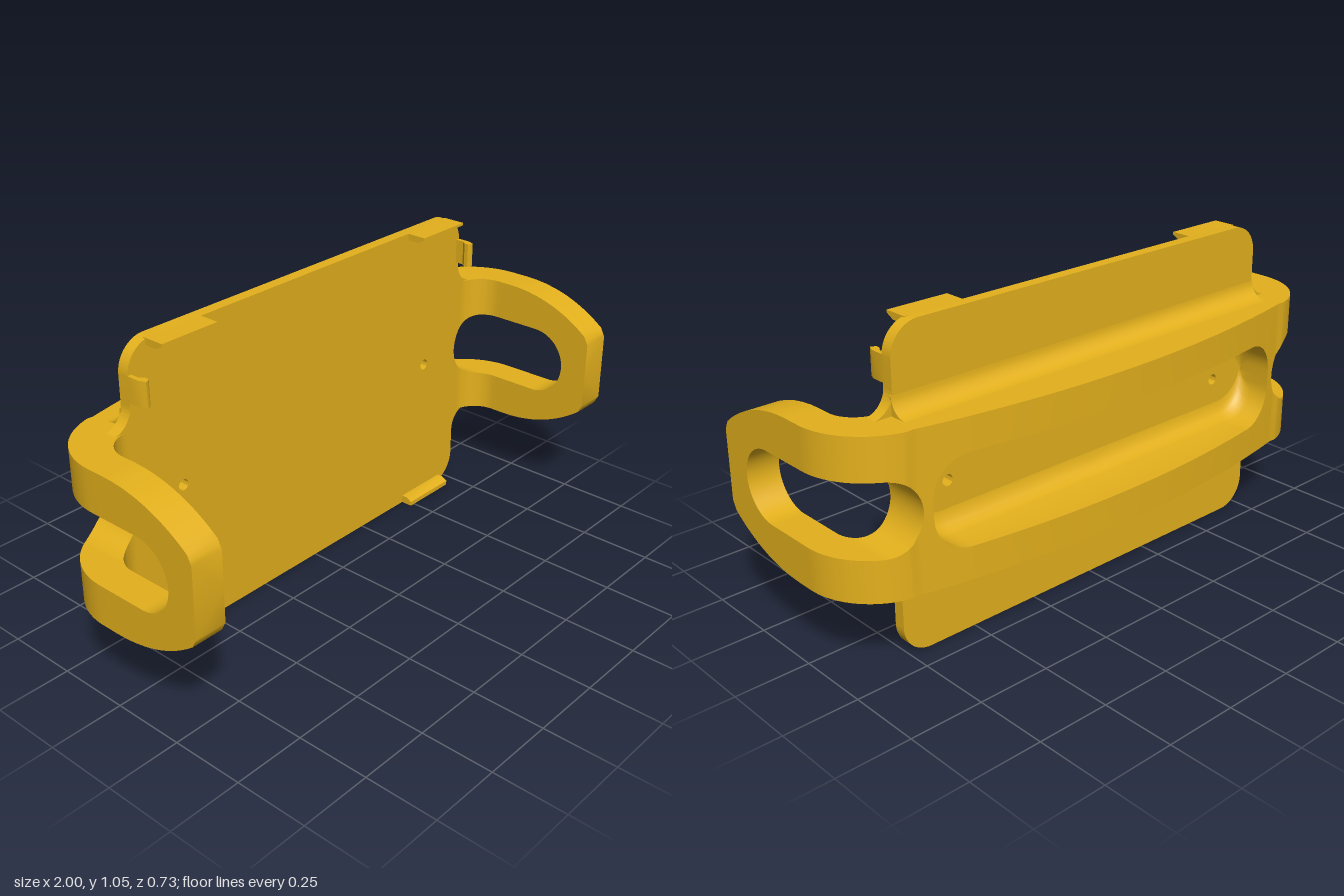
import * as THREE from 'three';
import { toCreasedNormals } from 'three/addons/utils/BufferGeometryUtils.js';

const MID = 0.53; // height of the horizontal symmetry line
const material = new THREE.MeshStandardMaterial({ color: 0xe3b01c });

function part(name, geometry) {
  const mesh = new THREE.Mesh(toCreasedNormals(geometry, 0.6), material);
  mesh.name = name;
  return mesh;
}

function extrude(shape, depth) {
  return new THREE.ExtrudeGeometry(shape, { depth, bevelEnabled: false, curveSegments: 16 });
}

// Extrudes a (z, y) profile along x, centred on cx
function extrudeAlongX(points, width, cx) {
  const shape = new THREE.Shape(points.map(([z, y]) => new THREE.Vector2(-z, y)));
  return extrude(shape, width).translate(0, 0, -width / 2).rotateY(Math.PI / 2).translate(cx, 0, 0);
}

// Flat plate: rounded corners, fillets into the arms, round side notches, two screw holes
function plateGeometry() {
  const W = 0.77, T = 1.055, r = 0.1, f = 0.075, PI = Math.PI;
  const top = MID + 0.258, low = MID - 0.258;
  const a = Math.acos(0.035 / 0.12), n = 0.12 * Math.sin(a);
  const s = new THREE.Shape();
  s.moveTo(-W + r, 0);
  s.lineTo(W - r, 0);
  s.absarc(W - r, r, r, -PI / 2, 0, false);
  s.absarc(W + f, low - f, f, PI, PI / 2, true);
  s.lineTo(0.85, MID - n);
  s.absarc(0.885, MID, 0.12, PI + a, PI - a, true);
  s.lineTo(0.85, top);
  s.absarc(W + f, top + f, f, -PI / 2, -PI, true);
  s.absarc(W - r, T - r, r, 0, PI / 2, false);
  s.absarc(-W + r, T - r, r, PI / 2, PI, false);
  s.absarc(-W - f, top + f, f, 0, -PI / 2, true);
  s.lineTo(-0.85, MID + n);
  s.absarc(-0.885, MID, 0.12, a, -a, true);
  s.lineTo(-0.85, low);
  s.absarc(-W - f, low - f, f, PI / 2, 0, true);
  s.absarc(-W + r, r, r, PI, PI * 1.5, false);
  for (const x of [-0.587, 0.587]) {
    s.holes.push(new THREE.Path().absarc(x, MID, 0.019, 0, PI * 2, true));
  }
  return extrude(s, 0.04).translate(0, 0, -0.17);
}

// Half height of the side slot at a point of the band
function slotHalf(x, z) {
  if (z > 0.14) return 0.12 * Math.sqrt(Math.max(0, 1 - ((z - 0.14) / 0.12) ** 2));
  const dx = Math.max(0, 0.885 - x);
  return Math.sqrt(Math.max(0, 0.0144 - dx * dx));
}

// Half height of the band, tapering towards the arm tips
function bandHalf(z) {
  if (z < 0.02) return 0.259;
  const h = 0.259 - (0.53 - Math.sqrt(0.53 ** 2 - (z - 0.02) ** 2));
  return z > 0.345 ? h - (z - 0.345) * 1.2 : h;
}

// Columns of the band from the middle of the back to an arm tip: outer and inner points
function bandColumns() {
  const cols = [];
  const back = x => 3.435 - Math.sqrt(3.8 ** 2 - x * x);
  const flat = (x, pocket) => cols.push({ o: [x, back(x)], i: [x, -0.13], pocket });
  for (let k = 0; k <= 6; k++) flat(k * 0.1, 0.15);
  for (let k = 0; k <= 10; k++) {
    const a = k * Math.PI / 20;
    flat(0.615 + 0.12 * Math.sin(a), 0.03 + 0.12 * Math.cos(a));
  }
  for (const x of [0.7351, 0.765, 0.766, 0.769, 0.774, 0.781, 0.789]) flat(x);
  // Rounded corner
  for (let k = 0; k <= 20; k++) {
    const t = k / 20, a = 0.213 + t * (Math.PI / 2 - 0.213), b = t * Math.PI / 2;
    cols.push({
      o: [0.755 + 0.245 * Math.sin(a), -0.045 - 0.245 * Math.cos(a)],
      i: [0.79 + 0.1 * Math.sin(b), -0.03 - 0.1 * Math.cos(b)],
    });
  }
  // Straight arm
  const arm = z => cols.push({ o: [1, z], i: [0.89, z] });
  for (const z of [0.02, 0.06, 0.1, 0.14]) arm(z);
  for (let k = 1; k <= 14; k++) arm(0.14 + 0.12 * Math.sin(k * Math.PI / 28));
  for (const z of [0.28, 0.3, 0.32, 0.345, 0.353, 0.36]) arm(z);
  return cols;
}

// Cross-section loop of one rail, as [x, height from the middle, z]
function section({ o, i, pocket }) {
  const N = 6, loop = [[o[0], bandHalf(o[1]), o[1]]];
  if (pocket !== undefined) {
    const f = Math.min(0.06, pocket);
    loop.push([o[0], pocket, o[1]]);
    for (let k = 0; k < N - 1; k++) {
      const a = k / (N - 2) * Math.PI / 2;
      loop.push([o[0], pocket - f + f * Math.cos(a), -0.17 - f + f * Math.sin(a)]);
    }
    loop.push([i[0], pocket - f, i[1]]);
  } else {
    for (let k = 0; k <= N; k++) {
      const t = k / N, x = o[0] + (i[0] - o[0]) * t, z = o[1] + (i[1] - o[1]) * t;
      loop.push([x, slotHalf(x, z), z]);
    }
  }
  loop.push([i[0], bandHalf(i[1]), i[1]]);
  return loop;
}

// Curved band: one quarter lofted and mirrored four ways
function bandGeometry() {
  const loops = bandColumns().map(section), positions = [];
  for (const sx of [1, -1]) for (const sy of [1, -1]) {
    const tri = (a, b, c) => {
      for (const p of sx * sy > 0 ? [a, c, b] : [a, b, c]) {
        positions.push(sx * p[0], MID + sy * p[1], p[2]);
      }
    };
    for (let c = 0; c + 1 < loops.length; c++) {
      const A = loops[c], B = loops[c + 1], n = A.length;
      for (let k = 0; k < n; k++) {
        const m = (k + 1) % n;
        tri(A[k], A[m], B[m]);
        tri(A[k], B[m], B[k]);
      }
    }
    const tip = loops[loops.length - 1];
    for (let k = 1; k + 1 < tip.length; k++) tri(tip[0], tip[k], tip[k + 1]);
  }
  const g = new THREE.BufferGeometry();
  g.setAttribute('position', new THREE.Float32BufferAttribute(positions, 3));
  return g;
}

export function createModel() {
  const group = new THREE.Group();
  group.add(part('plate', plateGeometry()), part('handleBand', bandGeometry()));

  // Concave fillets where the band meets the back of the plate
  for (const s of [1, -1]) {
    const pts = [[-0.165, 0.25], [-0.165, 0.32]];
    for (let k = 0; k <= 8; k++) {
      const a = k * Math.PI / 16;
      pts.push([-0.23 + 0.06 * Math.cos(a), 0.319 - 0.06 * Math.sin(a)]);
    }
    pts.push([-0.23, 0.25]);
    const profile = pts.map(([z, y]) => [z, MID + s * y]);
    group.add(part(s > 0 ? 'upperFillet' : 'lowerFillet', extrudeAlongX(profile, 1.55, 0)));
  }

  // Retaining clips on the top, bottom and side edges
  const topClip = [[-0.14, 1.055], [-0.06, 1.055], [-0.06, 1.046], [-0.088, 1.032], [-0.14, 1.032]];
  const lowClip = [[-0.14, 0], [-0.088, 0], [-0.088, 0.016], [-0.108, 0.028], [-0.14, 0.028]];
  const sideClip = [[0.77, -0.14], [0.77, -0.085], [0.76, -0.062], [0.755, -0.062], [0.743, -0.07], [0.743, -0.085], [0.755, -0.1], [0.755, -0.14]];
  for (const s of [1, -1]) {
    group.add(part('topClip', extrudeAlongX(topClip, 0.215, s * 0.588)));
    group.add(part('bottomClip', extrudeAlongX(lowClip, 0.215, s * 0.588)));
    const shape = new THREE.Shape(sideClip.map(([x, z]) => new THREE.Vector2(s * x, -z)));
    group.add(part('sideClip', extrude(shape, 0.085).rotateX(-Math.PI / 2).translate(0, 0.876, 0)));
  }
  return group;
}
